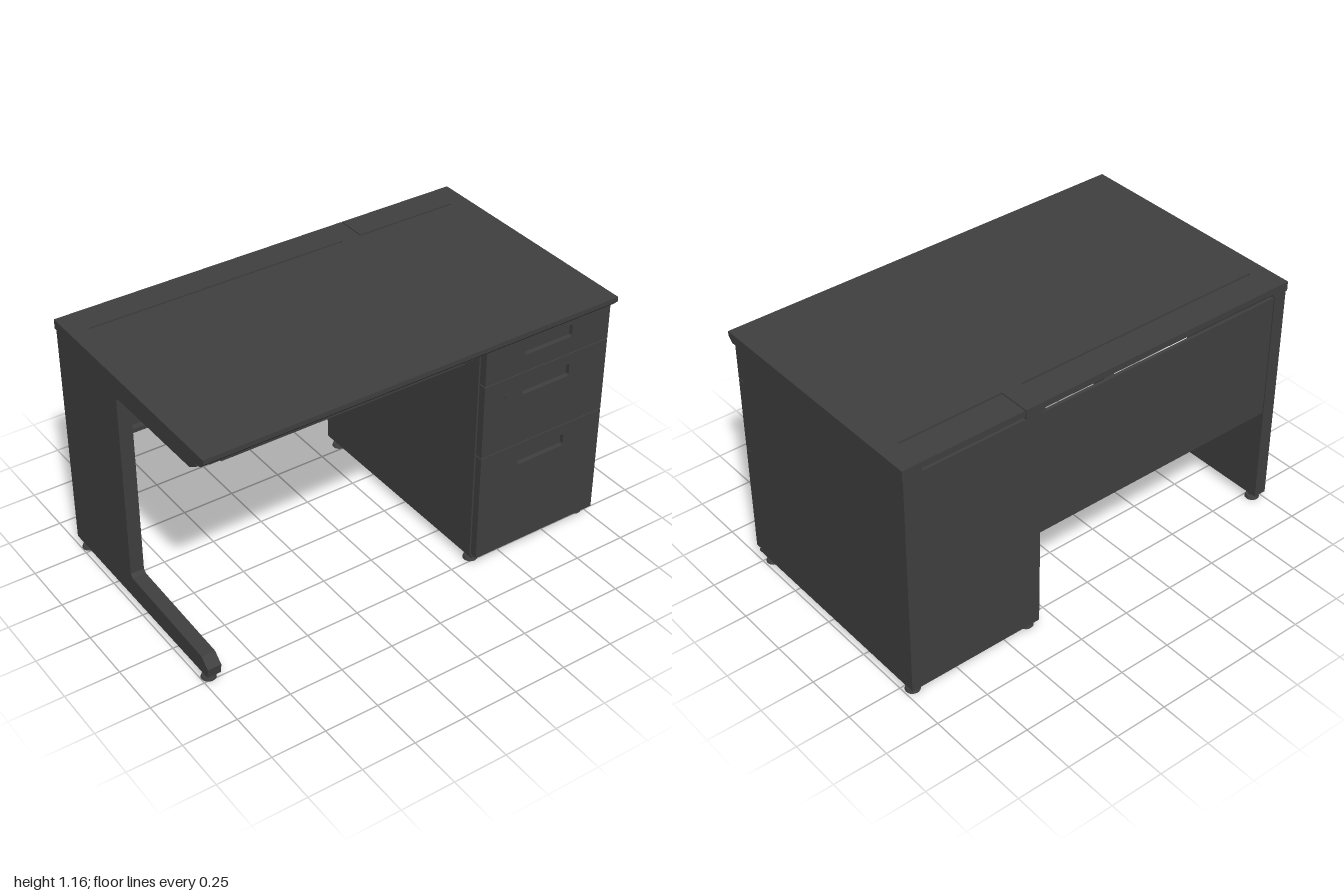
import * as THREE from 'three';

const dark = new THREE.MeshStandardMaterial({ color: 0x3f3f3f });

export function createModel() {
  const desk = new THREE.Group();
  desk.name = 'desk';

  const add = (name, geo, parent = desk) => {
    const mesh = new THREE.Mesh(geo, dark);
    mesh.name = name;
    parent.add(mesh);
    return mesh;
  };
  // Box given by its limits on each axis
  const box = (name, x0, x1, y0, y1, z0, z1, parent) => {
    const m = add(name, new THREE.BoxGeometry(x1 - x0, y1 - y0, z1 - z0), parent);
    m.position.set((x0 + x1) / 2, (y0 + y1) / 2, (z0 + z1) / 2);
    return m;
  };
  // Side profile of [z, y] points, extruded from x0 to x1
  const sideProfile = (name, pts, x0, x1, parent) => {
    const shape = new THREE.Shape(pts.map(([z, y]) => new THREE.Vector2(-z, y)));
    const geo = new THREE.ExtrudeGeometry(shape, { depth: x1 - x0, bevelEnabled: false });
    geo.rotateY(Math.PI / 2).translate(x0, 0, 0);
    return add(name, geo, parent);
  };
  const roundedRect = (path, cx, cy, w, h, r) => {
    const x = cx - w / 2, y = cy - h / 2;
    path.moveTo(x + r, y);
    path.lineTo(x + w - r, y);
    path.absarc(x + w - r, y + r, r, -Math.PI / 2, 0);
    path.lineTo(x + w, y + h - r);
    path.absarc(x + w - r, y + h - r, r, 0, Math.PI / 2);
    path.lineTo(x + r, y + h);
    path.absarc(x + r, y + h - r, r, Math.PI / 2, Math.PI);
    path.lineTo(x, y + r);
    path.absarc(x + r, y + r, r, Math.PI, Math.PI * 1.5);
    return path;
  };

  // Worktop with a bevelled lower front edge and thin cable flaps at the back
  const top = new THREE.Group();
  top.name = 'worktop';
  desk.add(top);
  sideProfile('topBoard', [[-0.435, 1.12], [0.56, 1.12], [0.583, 1.143], [0.583, 1.165], [-0.435, 1.165]], -1, 1, top);
  for (const [x0, x1] of [[-1, -0.915], [0.32, 0.415], [0.91, 1]])
    box('topRearBlock', x0, x1, 1.12, 1.165, -0.583, -0.435, top);
  for (const [x0, x1] of [[-0.915, 0.32], [0.42, 0.91]])
    box('cableFlap', x0, x1, 1.135, 1.165, -0.583, -0.445, top);

  // Drawer cabinet
  const cabinet = new THREE.Group();
  cabinet.name = 'cabinet';
  desk.add(cabinet);
  box('cabinetBody', 0.337, 0.995, 0.04, 1.12, -0.58, 0.51, cabinet);
  box('cabinetPlinth', 0.337, 0.995, 0.04, 0.052, 0.51, 0.526, cabinet);
  box('lowerRail', 0.345, 0.987, 0.052, 0.1, 0.51, 0.516, cabinet);
  box('upperRail', 0.345, 0.987, 1.08, 1.115, 0.51, 0.516, cabinet);

  // Drawer fronts with recessed rounded grips: bottom, top, grip height
  const x0 = 0.34, x1 = 0.992;
  for (const [y0, y1, gripY] of [[0.055, 0.585, 0.505], [0.59, 0.945, 0.865], [0.95, 1.115, 1.06]]) {
    const drawer = new THREE.Group();
    drawer.name = 'drawer';
    cabinet.add(drawer);
    const face = new THREE.Shape([[x0, y0], [x1, y0], [x1, y1], [x0, y1]].map(p => new THREE.Vector2(...p)));
    face.holes.push(roundedRect(new THREE.Path(), 0.665, gripY, 0.25, 0.06, 0.012));
    const front = new THREE.ExtrudeGeometry(face, { depth: 0.035, bevelEnabled: false, curveSegments: 4 });
    add('drawerFront', front.translate(0, 0, 0.516), drawer);
    box('gripPocket', 0.53, 0.8, gripY - 0.04, gripY + 0.04, 0.517, 0.529, drawer);
    const lip = roundedRect(new THREE.Shape(), 0.665, gripY + 0.006, 0.234, 0.036, 0.008);
    const lipGeo = new THREE.ExtrudeGeometry(lip, { depth: 0.012, bevelEnabled: false, curveSegments: 4 });
    add('gripLip', lipGeo.translate(0, 0, 0.529), drawer);
  }
  const lock = add('drawerLock', new THREE.CylinderGeometry(0.011, 0.011, 0.006, 16).rotateX(Math.PI / 2), cabinet);
  lock.position.set(0.46, 0.86, 0.552);

  // C-shaped side leg: column, tapered foot and top arm
  sideProfile('sideLeg', [
    [-0.58, 0.04], [0.52, 0.04], [0.525, 0.085], [0.48, 0.125],
    [-0.075, 0.145], [-0.09, 0.16], [-0.09, 1.045], [-0.075, 1.058],
    [0.47, 1.065], [0.52, 1.095], [0.52, 1.12], [-0.58, 1.12],
  ], -0.995, -0.932);

  // Modesty panel with a folded bottom lip
  box('modestyPanel', -0.932, 0.337, 0.51, 1.108, -0.575, -0.56);
  box('modestyLip', -0.925, 0.337, 0.51, 0.53, -0.56, -0.53);

  // Shallow centre drawer hung on two end rails
  const tray = new THREE.Group();
  tray.name = 'centreDrawer';
  desk.add(tray);
  box('trayFloor', -0.87, 0.28, 1.05, 1.06, 0.02, 0.48, tray);
  box('trayFront', -0.87, 0.28, 1.05, 1.112, 0.47, 0.49, tray);
  box('trayBack', -0.87, 0.28, 1.05, 1.105, 0.02, 0.03, tray);
  for (const x of [-0.925, 0.27])
    sideProfile('trayRail', [[0, 1.04], [0.45, 1.04], [0.5, 1.065], [0.5, 1.118], [0, 1.118]], x, x + 0.06, tray);

  // Levelling feet
  for (const x of [-0.965, 0.37, 0.96])
    for (const z of [-0.532, 0.475]) {
      const foot = new THREE.Group();
      foot.name = 'levellingFoot';
      foot.position.set(x, 0, z);
      desk.add(foot);
      add('footPad', new THREE.CylinderGeometry(0.028, 0.033, 0.014, 20), foot).position.y = 0.007;
      add('footStem', new THREE.CylinderGeometry(0.016, 0.016, 0.03, 16), foot).position.y = 0.028;
    }

  return desk;
}
